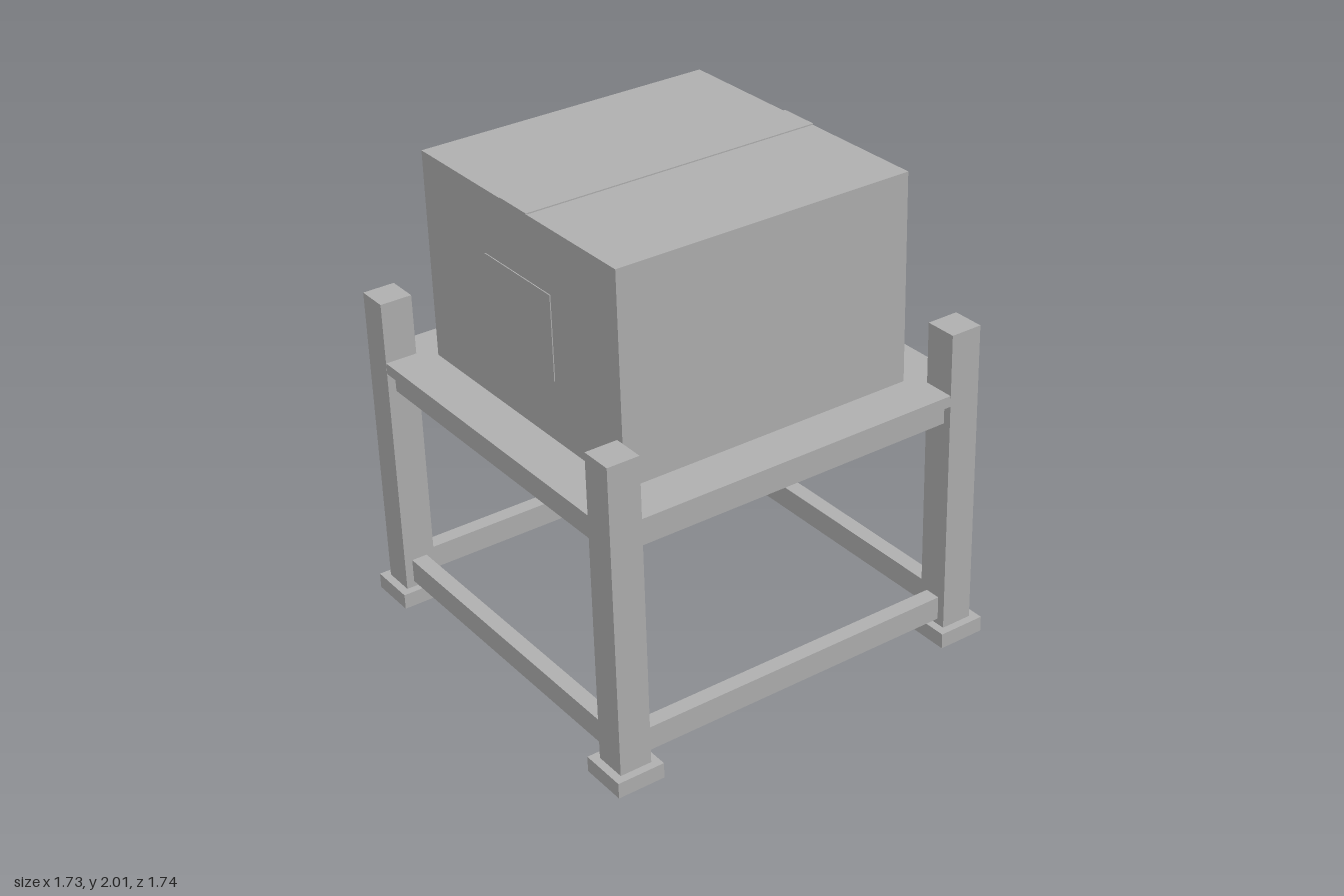
import * as THREE from 'three';

export function createModel() {
  const model = new THREE.Group();
  model.name = 'crateOnStand';
  const grey = new THREE.MeshStandardMaterial({ color: 0xb0b0b0 });
  grey.name = 'plain grey';

  // The whole stand leans slightly forward
  const tilted = new THREE.Group();
  tilted.name = 'tiltedStand';
  tilted.rotation.x = 0.032;
  tilted.position.y = 0.0275;
  model.add(tilted);

  // Box from its size, its base height and its centre in plan
  function block(name, w, h, d, x, y, z) {
    const mesh = new THREE.Mesh(new THREE.BoxGeometry(w, h, d), grey);
    mesh.name = name;
    mesh.position.set(x, y + h / 2, z);
    tilted.add(mesh);
  }

  const reach = 0.763; // leg centre distance
  const leg = 0.134;
  const span = 2 * reach - leg;
  const rail = 0.067;

  // Legs with square feet
  for (const sx of [-1, 1]) {
    for (const sz of [-1, 1]) {
      block('leg', leg, 1.288, leg, sx * reach, 0.065, sz * reach);
      block('foot', 0.2, 0.065, 0.2, sx * reach, 0, sz * reach);
    }
  }

  // Lower and upper rails on all four sides
  for (const s of [-1, 1]) {
    block('lowerCrossRail', span, 0.1, rail, 0, 0.09, s * reach);
    block('lowerSideRail', rail, 0.1, span, s * reach, 0.09, 0);
    block('upperCrossRail', span, 0.085, rail, 0, 0.97, s * reach);
    block('upperSideRail', rail, 0.085, span, s * reach, 0.97, 0);
  }

  // Shelf with a brace beneath it
  block('shelf', 1.658, 0.046, 1.658, 0, 1.055, 0);
  block('shelfBrace', span + 0.06, 0.06, rail, 0, 0.995, 0);

  // Carton with tape and a front label
  block('carton', 1.268, 0.855, 1.268, 0, 1.101, 0);
  block('tape', 0.17, 0.006, 1.272, 0, 1.955, 0);
  block('label', 0.43, 0.345, 0.006, 0, 1.35, 0.635);

  return model;
}
